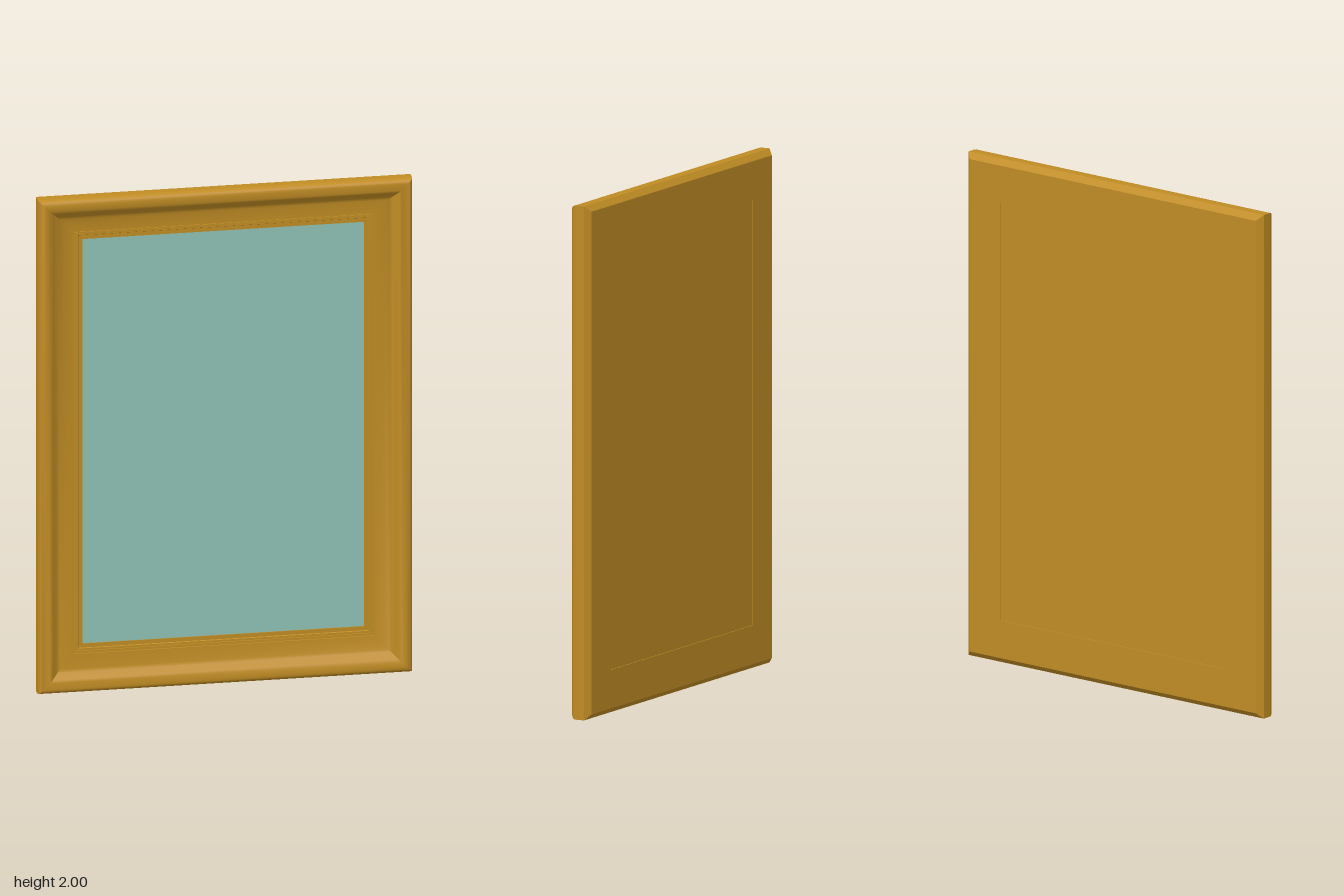
import * as THREE from 'three';
import { toCreasedNormals } from 'three/addons/utils/BufferGeometryUtils.js';

const HALF_W = 0.73, HALF_H = 1;

// Moulding section as [inset from the outer edge, z], from back to front to inside
function mouldingProfile() {
  const points = [[0, -0.02], [0, 0.016]];
  // rounded outer shoulder
  for (let i = 1; i <= 6; i++) {
    const a = (i / 6) * Math.PI / 2;
    points.push([0.026 * (1 - Math.cos(a)), 0.016 + 0.026 * Math.sin(a)]);
  }
  // crest falling into the cove
  points.push([0.036, 0.041], [0.046, 0.038], [0.055, 0.033], [0.063, 0.026], [0.071, 0.018],
    [0.079, 0.012], [0.09, 0.007], [0.105, 0.002], [0.125, -0.002], [0.144, -0.005]);
  // stepped beads and inner lip
  points.push([0.144, -0.011], [0.149, -0.011], [0.149, -0.007], [0.155, -0.007],
    [0.155, -0.012], [0.163, -0.012], [0.165, -0.016], [0.181, -0.016]);
  // rebate, back face and rear chamfer
  points.push([0.181, -0.026], [0.172, -0.026], [0.172, -0.042], [0.022, -0.042]);
  return points;
}

// Sweep the section round the rectangle with mitred corners
function mitredFrame(profile) {
  const corners = [[-1, -1], [1, -1], [1, 1], [-1, 1]];
  const at = ([sx, sy], [inset, z]) => [sx * (HALF_W - inset), HALF_H + sy * (HALF_H - inset), z];
  const positions = [];
  corners.forEach((c, k) => {
    const d = corners[(k + 1) % 4];
    profile.forEach((p, i) => {
      const q = profile[(i + 1) % profile.length];
      const [a, b, e, f] = [at(c, p), at(d, p), at(d, q), at(c, q)];
      positions.push(...a, ...b, ...e, ...a, ...e, ...f);
    });
  });
  const geometry = new THREE.BufferGeometry();
  geometry.setAttribute('position', new THREE.Float32BufferAttribute(positions, 3));
  return toCreasedNormals(geometry, 0.6);
}

// Flat board inset from the frame's outer edge
function board(name, inset, zBack, zFront, material) {
  const mesh = new THREE.Mesh(
    new THREE.BoxGeometry(2 * (HALF_W - inset), 2 * (HALF_H - inset), zFront - zBack), material);
  mesh.position.set(0, HALF_H, (zBack + zFront) / 2);
  mesh.name = name;
  return mesh;
}

export function createModel() {
  const gold = new THREE.MeshStandardMaterial({ color: 0xc08c24 });
  const glass = new THREE.MeshStandardMaterial({ color: 0x8fc0b4 });
  const group = new THREE.Group();
  group.name = 'pictureFrame';

  const frame = new THREE.Mesh(mitredFrame(mouldingProfile()), gold);
  frame.name = 'mouldedFrame';

  group.add(
    frame,
    board('pane', 0.178, -0.026, -0.02, glass),
    board('backPanel', 0.172, -0.038, -0.026, gold),
  );
  return group;
}
